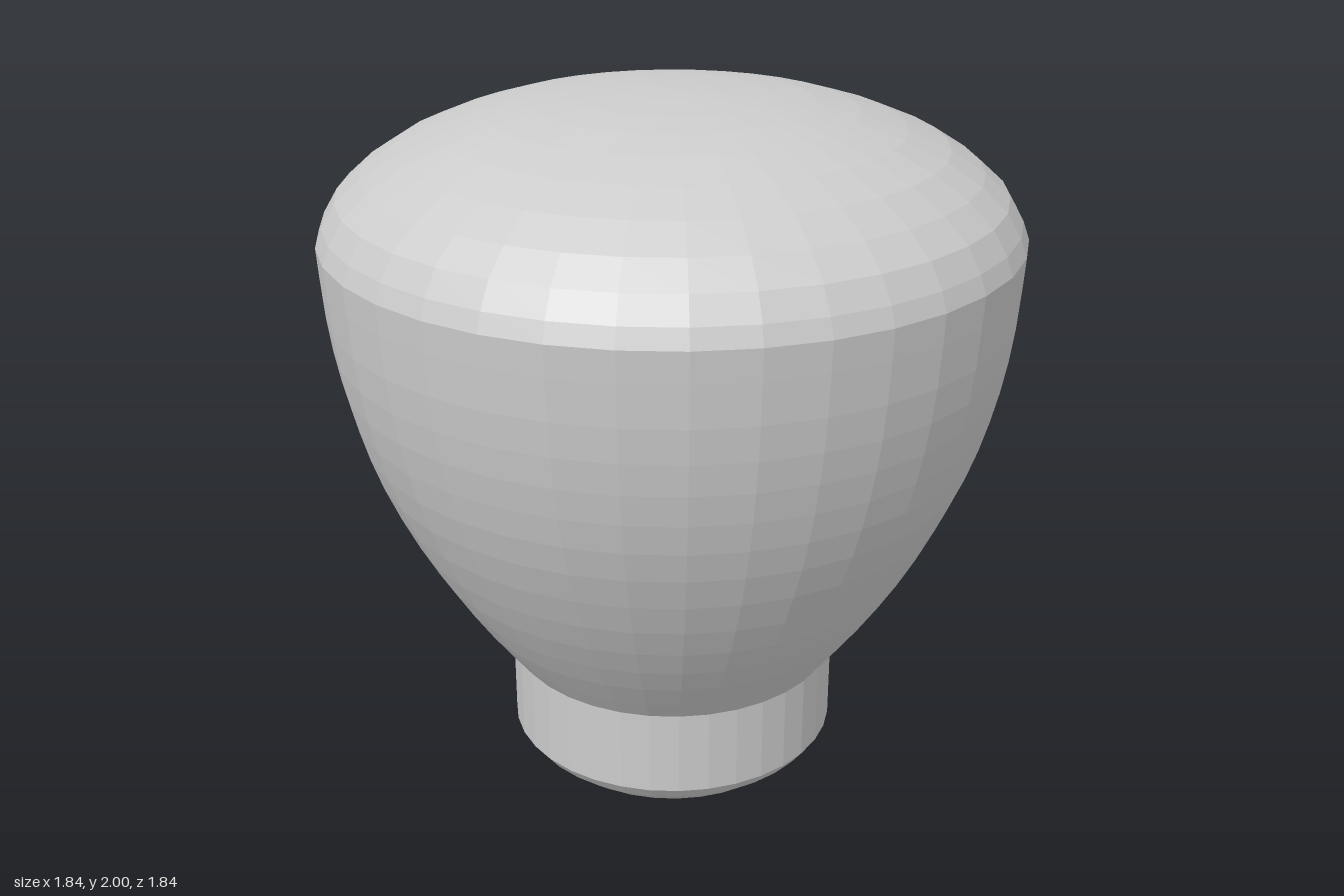
import * as THREE from 'three';

const SIDES = 36;

// Faceted surface of revolution; profile points run bottom to top as [radius, height].
function turned(name, profile, rings) {
  let points = profile.map(([r, y]) => new THREE.Vector2(r, y));
  if (rings) points = new THREE.SplineCurve(points).getPoints(rings);
  points.forEach((p) => { p.x = Math.max(p.x, 0); });
  const material = new THREE.MeshStandardMaterial({ color: 0xcccccc, flatShading: true });
  const mesh = new THREE.Mesh(new THREE.LatheGeometry(points, SIDES), material);
  mesh.name = name;
  return mesh;
}

export function createModel() {
  const group = new THREE.Group();
  group.name = 'lightBulb';

  // Rounded contact under the base
  group.add(turned('contactCap', [
    [0, 0], [0.12, 0.01], [0.25, 0.035], [0.37, 0.09], [0.43, 0.14], [0.46, 0.18],
  ]));

  // Straight base collar
  group.add(turned('collar', [[0.46, 0.18], [0.46, 0.42]]));

  // Glass body flaring up to the widest ring
  group.add(turned('globe', [
    [0.46, 0.42], [0.59, 0.6], [0.71, 0.8], [0.81, 1.02], [0.87, 1.22], [0.905, 1.42], [0.92, 1.64],
  ], 14));

  // Shallow dome closing the top
  group.add(turned('dome', [
    [0.92, 1.64], [0.865, 1.75], [0.71, 1.865], [0.48, 1.948], [0.25, 1.986], [0, 2],
  ], 10));

  return group;
}
